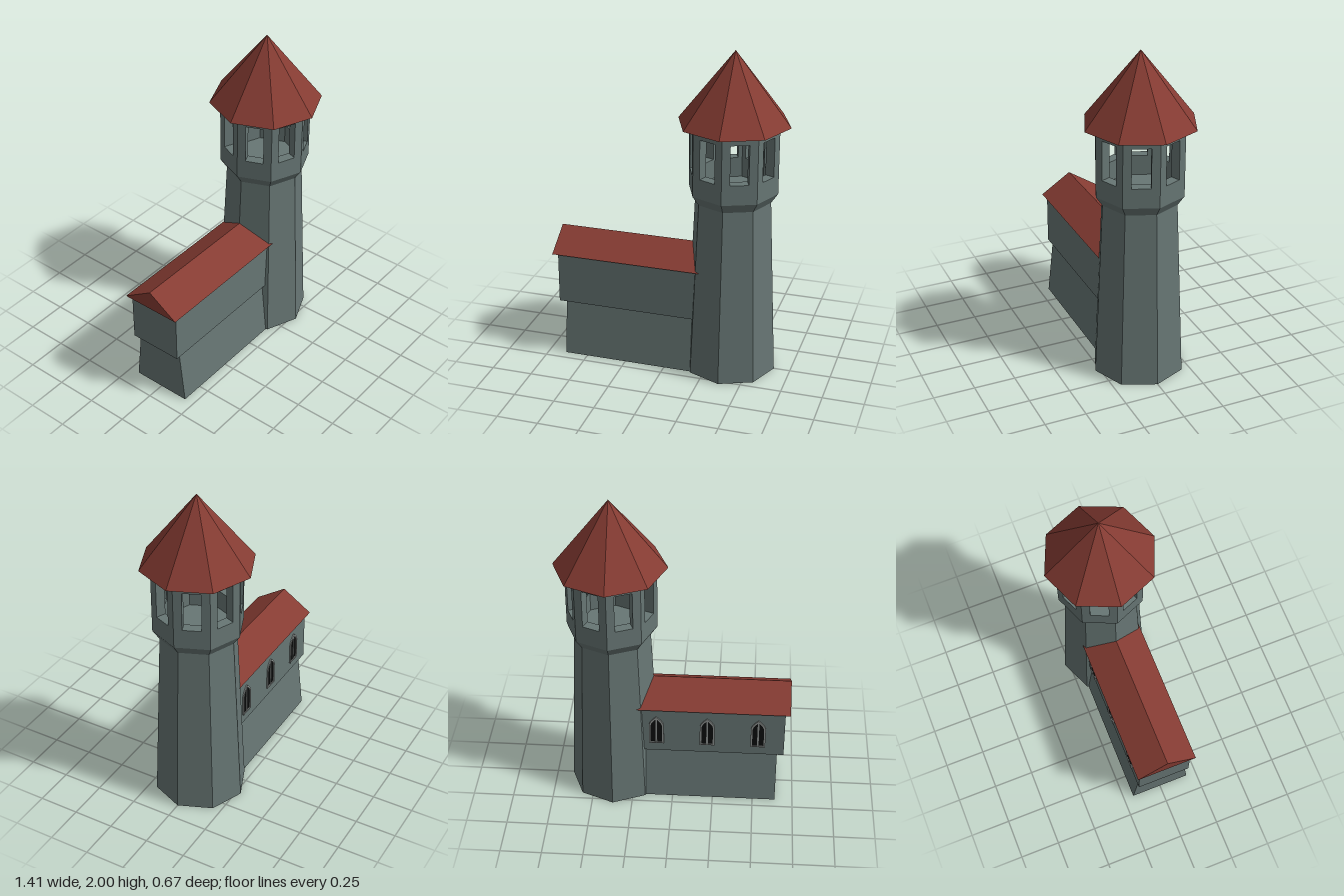
import * as THREE from 'three';

const mat = (name, color) => new THREE.MeshStandardMaterial({ name, color });

export function createModel() {
  const stone = mat('stone', 0x677674);
  const tile = mat('roofTile', 0x863c33);
  const trim = mat('windowTrim', 0x8c918f);
  const dark = mat('windowDark', 0x0c0d0d);
  const model = new THREE.Group();
  model.name = 'chapelTower';

  const add = (parent, name, geometry, material, x = 0, y = 0, z = 0) => {
    const mesh = new THREE.Mesh(geometry, material);
    mesh.name = name;
    mesh.position.set(x, y, z);
    parent.add(mesh);
    return mesh;
  };

  // Eight-sided frustum with corners on the axes and hard edges
  const octagon = (rTop, rBottom, h, open = false) => {
    const g = new THREE.CylinderGeometry(rTop, rBottom, h, 8, 1, open).toNonIndexed();
    g.computeVertexNormals();
    return g.translate(0, h / 2, 0);
  };

  // Tower: tapering shaft, flared collar, roof
  const tower = new THREE.Group();
  tower.name = 'tower';
  tower.position.x = 0.37;
  model.add(tower);
  add(tower, 'shaft', octagon(0.23, 0.28, 1.1), stone);
  add(tower, 'collar', octagon(0.27, 0.23, 0.06), stone, 0, 1.1);
  add(tower, 'towerRoof', octagon(0, 0.335, 0.43, true), tile, 0, 1.57);
  const soffit = new THREE.CircleGeometry(0.335, 8).rotateX(Math.PI / 2);
  add(tower, 'towerRoofUnderside', soffit, stone, 0, 1.57);

  // Lantern: eight mitred wall panels, each with an open window
  const R = 0.27, T = 0.06, H = 0.41;
  const half = R * Math.sin(Math.PI / 8);
  const apothem = R * Math.cos(Math.PI / 8);
  const rect = (Type, x, y0, y1) => new Type([
    new THREE.Vector2(-x, y0), new THREE.Vector2(x, y0),
    new THREE.Vector2(x, y1), new THREE.Vector2(-x, y1),
  ]);
  const wall = rect(THREE.Shape, half, 0, H);
  wall.holes.push(rect(THREE.Path, 0.054, 0.12, 0.36));
  const panel = new THREE.ExtrudeGeometry(wall, { depth: T, bevelEnabled: false });
  panel.translate(0, 0, -T);
  const pos = panel.attributes.position;
  for (let i = 0; i < pos.count; i++) {
    if (pos.getZ(i) < -T / 2 && Math.abs(pos.getX(i)) > 0.08) {
      pos.setX(i, pos.getX(i) * (apothem - T) / apothem);
    }
  }
  panel.computeVertexNormals();
  for (let i = 0; i < 8; i++) {
    const a = (i + 0.5) * Math.PI / 4;
    const side = add(tower, 'lanternWall', panel, stone,
      Math.sin(a) * apothem, 1.16, Math.cos(a) * apothem);
    side.rotation.y = a;
  }

  // Wing: cross-sections in (z, y) run along x into the tower
  const wing = new THREE.Group();
  wing.name = 'wing';
  model.add(wing);
  const run = (points, x0) => new THREE.ExtrudeGeometry(
    new THREE.Shape(points.map(([z, y]) => new THREE.Vector2(z, y))),
    { depth: 0.37 - x0, bevelEnabled: false },
  ).rotateY(Math.PI / 2).translate(x0, 0, 0);
  add(wing, 'lowerWall', run([[-0.187, 0], [0.187, 0], [0.15, 0.35], [-0.15, 0.35]], -0.64), stone);
  add(wing, 'upperWall', run([[-0.167, 0.35], [0.167, 0.35], [0.167, 0.672], [-0.167, 0.672]], -0.68), stone);
  add(wing, 'wingRoof', run([[-0.188, 0.67], [0.188, 0.67], [0, 0.793]], -0.71), tile);
  const eaves = new THREE.PlaneGeometry(1.08, 0.376).rotateX(Math.PI / 2);
  add(wing, 'wingRoofUnderside', eaves, stone, -0.17, 0.669);

  // Pointed windows along the back of the wing
  const lancet = (Type, w, y0, spring, top) => {
    const s = new Type();
    s.moveTo(-w, y0);
    s.lineTo(w, y0);
    s.lineTo(w, spring);
    s.quadraticCurveTo(w * 0.85, (spring + top) / 2, 0, top);
    s.quadraticCurveTo(-w * 0.85, (spring + top) / 2, -w, spring);
    s.lineTo(-w, y0);
    return s;
  };
  const frameShape = lancet(THREE.Shape, 0.045, 0, 0.14, 0.2);
  frameShape.holes.push(lancet(THREE.Path, 0.035, 0.008, 0.136, 0.186));
  const frame = new THREE.ExtrudeGeometry(frameShape, { depth: 0.008, bevelEnabled: false, curveSegments: 4 });
  const pane = new THREE.ShapeGeometry(lancet(THREE.Shape, 0.04, 0.004, 0.138, 0.193), 4);
  const mullion = new THREE.BoxGeometry(0.01, 0.18, 0.006);
  for (const x of [-0.52, -0.21, 0.1]) {
    const win = new THREE.Group();
    win.name = 'wingWindow';
    win.position.set(x, 0.41, -0.167);
    win.rotation.y = Math.PI;
    add(win, 'windowFrame', frame, trim);
    add(win, 'windowPane', pane, dark, 0, 0, 0.002);
    add(win, 'mullion', mullion, trim, 0, 0.095, 0.003);
    wing.add(win);
  }

  return model;
}
